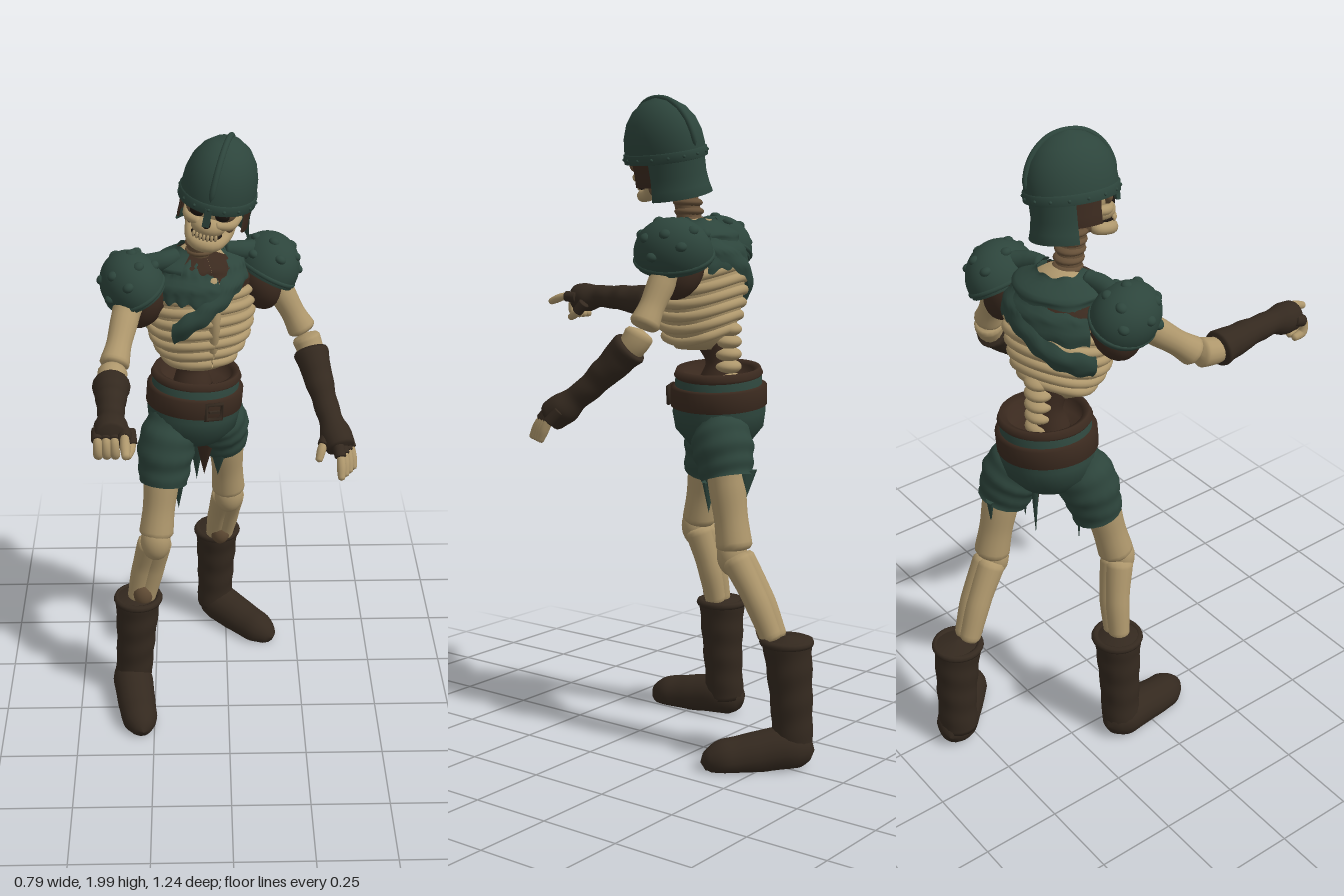
import * as THREE from 'three';
import { mergeVertices } from 'three/addons/utils/BufferGeometryUtils.js';
import { ParametricGeometry } from 'three/addons/geometries/ParametricGeometry.js';

const mat = (name, color) => {
  const m = new THREE.MeshStandardMaterial({ color, side: THREE.DoubleSide });
  m.name = name;
  return m;
};
const bone = mat('bone', 0xae976c), stain = mat('stained bone', 0x665038);
const green = mat('green armour', 0x2d453c), leather = mat('brown leather', 0x3b2a1f);
const hide = mat('dark hide', 0x34291f), hollow = mat('hollow', 0x1c1510);

const V = (a) => new THREE.Vector3(...a);
function add(parent, name, geo, material, pos = [0, 0, 0], rot = [0, 0, 0], scale = [1, 1, 1]) {
  const m = new THREE.Mesh(geo, material);
  m.name = name;
  m.position.set(...pos); m.rotation.set(...rot); m.scale.set(...scale);
  parent.add(m);
  return m;
}
const ball = (parent, name, material, pos, scale, rot) =>
  add(parent, name, new THREE.SphereGeometry(1, 20, 14), material, pos, rot, scale);
function group(parent, name, pos, rot) {
  const g = new THREE.Group();
  g.name = name;
  g.position.set(...pos); g.rotation.set(...rot);
  parent.add(g);
  return g;
}
const sample = (list, t) => {
  const f = Math.min(Math.max(t, 0), 1) * (list.length - 1), i = Math.min(Math.floor(f), list.length - 2);
  return THREE.MathUtils.lerp(list[i], list[i + 1], THREE.MathUtils.smoothstep(f - i, 0, 1));
};
// Tube of varying radius along a curve, with rounded ends unless left open
function limb(parent, name, material, points, radii, { cap = 0.08, floor = false, wrinkle = 0, seg = 28 } = {}) {
  const curve = new THREE.CatmullRomCurve3(points.map(V));
  const geo = new THREE.TubeGeometry(curve, seg, 1, 16);
  const p = geo.attributes.position, v = new THREE.Vector3();
  for (let i = 0; i < p.count; i++) {
    const t = Math.floor(i / 17) / seg, c = curve.getPointAt(t);
    let r = sample(radii, t) + wrinkle * Math.sin(t * 24 + Math.sin((i % 17) / 16 * Math.PI * 2) * 1.5);
    const e = cap ? Math.min(t, 1 - t) / cap : 1;
    if (e < 1) r *= Math.sqrt(Math.max(1e-5, 1 - (1 - e) ** 2));
    v.fromBufferAttribute(p, i).sub(c).multiplyScalar(r).add(c);
    p.setXYZ(i, v.x, floor ? Math.max(v.y, 0.008) : v.y, v.z);
  }
  geo.deleteAttribute('uv'); geo.deleteAttribute('normal');
  const smooth = mergeVertices(geo);
  smooth.computeVertexNormals();
  return add(parent, name, smooth, material);
}
const lathe = (parent, name, material, profile, zScale, from = 0, sweep = Math.PI * 2) =>
  add(parent, name, new THREE.LatheGeometry(profile.map((q) => new THREE.Vector2(...q)), 40, from, sweep),
    material, [0, 0, 0], [0, 0, 0], [1, 1, zScale]);

// Chest surface: radius by height, elliptical in plan
const chestRadii = [0.085, 0.128, 0.15, 0.16, 0.167, 0.162, 0.148, 0.118, 0.05];
const chestAt = (phi, y, off = 0) => {
  const r = sample(chestRadii, (y - 1.24) / 0.39) + off;
  return [r * Math.sin(phi), y, r * 0.85 * Math.cos(phi)];
};
// Cloth strip on the chest following [angle, height] points
function strip(parent, name, material, path, width, off = 0.022) {
  const c = new THREE.CatmullRomCurve3(path.map(([a, y]) => new THREE.Vector3(a, y, 0)));
  add(parent, name, new ParametricGeometry((u, v, out) => {
    const q = c.getPoint(u), h = (v - 0.5) * width * (1 + 0.12 * Math.sin(u * 31));
    out.set(...chestAt(q.x, q.y + h, off * (0.55 + 0.45 * Math.sin(Math.PI * v))));
  }, 40, 8), material);
}

function buildTorso(root) {
  const t = group(root, 'torso', [-0.085, 0, -0.16], [0, 0.33, 0]);
  const shell = [];
  for (let i = 0; i <= 16; i++) {
    const y = 1.24 + i * 0.39 / 16;
    shell.push([chestAt(Math.PI / 2, y, -0.004)[0], y]);
  }
  lathe(t, 'chestWall', bone, [[0.001, 1.25], ...shell, [0.001, 1.635]], 0.85);
  // Ribs arch down from the breastbone and the spine
  for (let k = 0; k < 8; k++) {
    const pts = [];
    for (let j = 0; j <= 32; j++) {
      const a = j / 32 * Math.PI * 2;
      pts.push(chestAt(a, 1.28 + k * 0.038 - 0.014 * Math.cos(a) + 0.012 * Math.cos(2 * a), -0.005));
    }
    limb(t, 'rib', bone, pts, [0.015, 0.015], { cap: 0, seg: 60 });
  }
  limb(t, 'breastbone', bone, [1.31, 1.4, 1.48, 1.57].map((y) => chestAt(0, y, -0.003)), [0.012, 0.018, 0.025]);
  // Ragged leather yoke and green cloth
  strip(t, 'leatherYoke', leather, [[0, 1.58], [1.6, 1.555], [3.14, 1.575], [4.7, 1.555], [6.28, 1.58]], 0.1, 0.018);
  strip(t, 'yokeCloth', green, [[1.0, 1.6], [3.14, 1.595], [5.6, 1.6]], 0.07, 0.028);
  strip(t, 'backCloth', green, [[2.1, 1.53], [2.7, 1.545], [3.3, 1.535], [4.2, 1.51]], 0.11);
  strip(t, 'backStrap', green, [[2.2, 1.56], [3, 1.5], [3.6, 1.43], [4.3, 1.39]], 0.08, 0.028);
  strip(t, 'chestStrap', green, [[1.0, 1.59], [0.4, 1.545], [-0.2, 1.47], [-0.75, 1.4]], 0.075, 0.03);
  strip(t, 'chestCloth', green, [[-1.15, 1.55], [-0.55, 1.55], [0.1, 1.525]], 0.11, 0.026);
  for (const s of [-1, 1]) {
    ball(t, 'sleeve', leather, [s * 0.185, 1.5, 0.012], [0.072, 0.105, 0.085], [0, 0, s * 0.35]);
    // Domed shoulder plate with low lumps
    const p = group(t, 'shoulderPlate', [s * 0.214, 1.535, 0.012], [0, 0, -s * 0.5]);
    add(p, 'plateDome', new THREE.SphereGeometry(1, 28, 14, 0, Math.PI * 2, 0, Math.PI * 0.58), green,
      [0, 0, 0], [0, 0, 0], [0.096, 0.108, 0.119]);
    add(p, 'plateRim', new THREE.TorusGeometry(1, 0.06, 8, 32), green, [0, -0.012, 0],
      [Math.PI / 2, 0, 0], [0.093, 0.117, 0.12]);
    for (let i = 0; i < 10; i++) {
      const a = i * 2.4, e = 0.5 + 0.09 * i;
      ball(p, 'lump', green, [0.09 * Math.sin(e) * Math.cos(a), 0.101 * Math.cos(e), 0.112 * Math.sin(e) * Math.sin(a)],
        [0.018, 0.014, 0.018]);
    }
    limb(t, 'collarFold', green, [[s * 0.07, 1.615, 0.02], [s * 0.12, 1.605, 0.025], [s * 0.18, 1.595, 0.01]], [0.024, 0.03, 0.03]);
  }
  // Neck and lower spine
  for (let i = 0; i < 6; i++)
    ball(root, 'neckBone', stain, [-0.083, 1.6 + i * 0.027, -0.135 + i * 0.005], [0.045, 0.017, 0.046]);
  limb(root, 'neckCore', stain, [[-0.085, 1.56, -0.14], [-0.08, 1.76, -0.1]], [0.038, 0.038]);
  for (let i = 0; i < 6; i++)
    ball(root, 'lumbarBone', bone, [-0.107, 1.11 + i * 0.038, -0.255], [0.045, 0.023, 0.042]);
  limb(root, 'driedWaist', leather, [[-0.11, 1.12, -0.22], [-0.11, 1.2, -0.225], [-0.1, 1.29, -0.2]], [0.065, 0.045, 0.06]);
}

function buildHead(root) {
  const h = group(root, 'head', [-0.032, 1.812, -0.075], [0, -0.2, -0.2]);
  ball(h, 'skull', bone, [0, 0, 0], [0.085, 0.09, 0.108]);
  ball(h, 'upperJaw', bone, [0, -0.058, 0.072], [0.052, 0.035, 0.054]);
  limb(h, 'lowerJaw', bone, [[-0.062, -0.03, 0.01], [-0.055, -0.09, 0.035], [-0.025, -0.108, 0.1],
    [0.025, -0.108, 0.1], [0.055, -0.09, 0.035], [0.062, -0.03, 0.01]], [0.013, 0.018, 0.021, 0.018, 0.013]);
  ball(h, 'mouthGap', hollow, [0, -0.084, 0.076], [0.046, 0.008, 0.048]);
  ball(h, 'nasalHollow', hollow, [0, -0.04, 0.118], [0.012, 0.015, 0.012]);
  for (const s of [-1, 1]) {
    ball(h, 'eyeShade', stain, [s * 0.04, -0.006, 0.085], [0.034, 0.028, 0.016]);
    ball(h, 'eyeSocket', hollow, [s * 0.036, -0.012, 0.094], [0.024, 0.02, 0.014]);
    ball(h, 'jawFlesh', stain, [s * 0.058, -0.06, 0.018], [0.016, 0.04, 0.034]);
    limb(h, 'cheekbone', bone, [[s * 0.02, -0.045, 0.105], [s * 0.06, -0.045, 0.075], [s * 0.08, -0.035, 0.01]], [0.012, 0.015, 0.01]);
  }
  for (let i = -3; i <= 3; i++)
    ball(h, 'tooth', bone, [i * 0.011, -0.081, 0.122 - 0.0016 * i * i], [0.005, 0.01, 0.006]);
  // Helmet dome, brim, ridge, nose bar and guards
  const dome = [[0.116, 0], [0.117, 0.035], [0.113, 0.075], [0.1, 0.115], [0.077, 0.149], [0.044, 0.174], [0.001, 0.186]];
  lathe(h, 'helmetDome', green, dome, 1.18).scale.x = 0.94;
  lathe(h, 'helmetBrim', green, [[0.115, -0.002], [0.122, 0], [0.122, 0.026], [0.115, 0.03]], 1.17).scale.x = 0.94;
  const side = dome.slice(1, 6).map(([r, y]) => [0, y, r * 1.18]);
  limb(h, 'helmetRidge', green, [...side, [0, 0.183, 0], ...side.reverse().map(([x, y, z]) => [x, y, -z])], [0.009, 0.009], { seg: 40 });
  add(h, 'noseBar', new THREE.BoxGeometry(0.02, 0.055, 0.012), green, [0, -0.012, 0.138]);
  for (let i = 0; i < 16; i++) {
    const a = i / 16 * Math.PI * 2;
    ball(h, 'rivet', green, [0.114 * Math.sin(a), 0.013, 0.142 * Math.cos(a)], [0.005, 0.005, 0.005]);
  }
  const guard = [[0.11, 0.01], [0.108, -0.05], [0.112, -0.085], [0.118, -0.112], [0.112, -0.114], [0.1, -0.05], [0.102, 0.01]];
  lathe(h, 'neckGuard', green, guard, 1.15, 1.85, 2.58);
  for (const from of [1.2, 4.38])
    lathe(h, 'cheekGuard', leather, [[0.106, 0.01], [0.104, -0.04], [0.105, -0.07], [0.099, -0.07], [0.098, 0.01]], 1.15, from, 0.7);
}

function buildHips(root) {
  const p = group(root, 'hips', [-0.105, 1.08, -0.225], [0, 0.35, -0.09]);
  lathe(p, 'shortsSeat', green, [[0.03, -0.155], [0.1, -0.13], [0.142, -0.08], [0.15, -0.03], [0.142, 0.02], [0.138, 0.085], [0.12, 0.09], [0.115, 0.02]], 0.95);
  lathe(p, 'waistband', leather, [[0.138, 0.075], [0.146, 0.085], [0.137, 0.105], [0.115, 0.095], [0.11, 0.05], [0.01, 0.045]], 0.93);
  lathe(p, 'belt', leather, [[0.14, -0.015], [0.155, -0.01], [0.155, 0.048], [0.14, 0.053]], 0.95);
  add(p, 'buckle', new THREE.TorusGeometry(0.036, 0.008, 6, 4), hide, [0.01, 0.018, 0.15], [0, 0, Math.PI / 4]);
  add(p, 'buckleTongue', new THREE.BoxGeometry(0.035, 0.008, 0.009), hide, [0.01, 0.018, 0.152]);
  const open = { cap: 0, wrinkle: 0.0025 };
  limb(root, 'rightShortsLeg', green, [[-0.165, 1.06, -0.195], [-0.195, 0.95, -0.145], [-0.208, 0.83, -0.115]], [0.075, 0.092, 0.079], open);
  limb(root, 'leftShortsLeg', green, [[-0.05, 1.04, -0.26], [-0.025, 0.96, -0.295], [-0.008, 0.86, -0.325]], [0.075, 0.094, 0.08], open);
  // Torn cloth tips
  const rag = (m, x, y, z, len, w) =>
    add(root, 'tornCloth', new THREE.ConeGeometry(w, len, 8), m, [x, y - len / 2, z], [Math.PI, 0.6, 0], [1, 1, 0.35]);
  rag(green, -0.16, 0.93, -0.15, 0.22, 0.05);
  rag(green, -0.03, 0.9, -0.26, 0.13, 0.045);
  rag(leather, -0.075, 0.95, -0.25, 0.17, 0.05);
  rag(green, -0.1, 0.95, -0.27, 0.2, 0.04);
  rag(green, -0.02, 0.89, -0.38, 0.1, 0.04);
  rag(green, -0.24, 0.85, -0.09, 0.07, 0.04);
}

function buildLeg(root, side, hip, knee, ankle, shaft, foot) {
  limb(root, side + 'Thigh', bone, [hip, knee], [0.062, 0.057, 0.052, 0.056]);
  ball(root, side + 'Kneecap', bone, [knee[0], knee[1] - 0.005, knee[2] + 0.012], [0.049, 0.065, 0.044]);
  for (const s of [-1, 1])
    limb(root, side + 'ShinBone', bone, [[knee[0] + s * 0.012, knee[1], knee[2]],
      [(knee[0] + ankle[0]) / 2 + s * 0.016, (knee[1] + ankle[1]) / 2, (knee[2] + ankle[2]) / 2 - 0.01],
      [ankle[0] + s * 0.013, ankle[1], ankle[2]]], [0.044, 0.038, 0.033]);
  ball(root, side + 'ShinStain', stain, ankle.map((a, i) => a + (knee[i] - a) * 0.16 + (i === 2 ? 0.012 : 0)), [0.035, 0.05, 0.03]);
  limb(root, side + 'BootShaft', hide, shaft, [0.076, 0.07, 0.065, 0.062, 0.062], { cap: 0.03, wrinkle: 0.0012 });
  add(root, side + 'BootCuff', new THREE.TorusGeometry(0.07, 0.012, 8, 28), hide, [shaft[0][0], 0.387, shaft[0][2]], [Math.PI / 2, 0, 0]);
  limb(root, side + 'BootFoot', hide, foot, [0.054, 0.067, 0.064, 0.06, 0.043], { cap: 0.18, floor: true });
}

function buildArm(root, side, shoulder, elbow, cuff, wrist, palm, fingers) {
  limb(root, side + 'UpperArm', bone, [shoulder, elbow], [0.05, 0.042, 0.038, 0.046]);
  limb(root, side + 'Forearm', bone, [elbow, cuff, wrist], [0.045, 0.036, 0.028]);
  limb(root, side + 'Glove', hide, [cuff, wrist, palm], [0.056, 0.05, 0.044, 0.039, 0.037, 0.048, 0.046], { cap: 0.04, wrinkle: 0.0012, seg: 40 });
  for (const f of fingers) {
    limb(root, side + 'GloveFinger', hide, f.slice(0, 2), [0.019, 0.018]);
    limb(root, side + 'Finger', bone, f, [0.014, 0.012, 0.014, 0.011]);
  }
}

export function createModel() {
  const root = new THREE.Group();
  root.name = 'skeletonGuard';
  buildTorso(root);
  buildHead(root);
  buildHips(root);
  buildLeg(root, 'right', [-0.2, 0.95, -0.125], [-0.235, 0.65, -0.058], [-0.292, 0.38, -0.1],
    [[-0.3, 0.405, -0.105], [-0.312, 0.22, -0.103], [-0.325, 0.05, -0.105]],
    [[-0.338, 0.055, -0.17], [-0.325, 0.062, -0.08], [-0.305, 0.042, 0.06], [-0.285, 0.032, 0.168]]);
  buildLeg(root, 'left', [-0.005, 0.95, -0.31], [0.008, 0.64, -0.368], [-0.025, 0.38, -0.495],
    [[-0.03, 0.405, -0.53], [-0.035, 0.22, -0.545], [-0.04, 0.05, -0.55]],
    [[-0.075, 0.055, -0.605], [-0.02, 0.062, -0.54], [0.085, 0.042, -0.435], [0.168, 0.032, -0.358]]);
  const pointing = [[[-0.295, 1.355, 0.5], [-0.292, 1.358, 0.55], [-0.287, 1.335, 0.62]],
    [[-0.285, 1.34, 0.46], [-0.278, 1.305, 0.49], [-0.29, 1.285, 0.53]]];
  for (const x of [-0.32, -0.343, -0.366])
    pointing.push([[x, 1.36, 0.5], [x, 1.345, 0.54], [x, 1.305, 0.54], [x, 1.295, 0.5]]);
  buildArm(root, 'right', [-0.29, 1.52, -0.05], [-0.34, 1.365, 0.14], [-0.343, 1.35, 0.21], [-0.335, 1.36, 0.41], [-0.33, 1.35, 0.54], pointing);
  const relaxed = [[[0.31, 1.09, 0.02], [0.287, 1.06, 0.07], [0.273, 1.02, 0.1]]];
  for (let i = 0; i < 4; i++)
    relaxed.push([[0.33 + i * 0.01, 1.08, 0.07 - i * 0.018], [0.34 + i * 0.012, 1.04, 0.11 - i * 0.02], [0.342 + i * 0.014, 0.98, 0.145 - i * 0.022]]);
  buildArm(root, 'left', [0.13, 1.52, -0.22], [0.24, 1.32, -0.195], [0.258, 1.275, -0.175], [0.308, 1.13, -0.03], [0.345, 1.045, 0.075], relaxed);
  return root;
}
